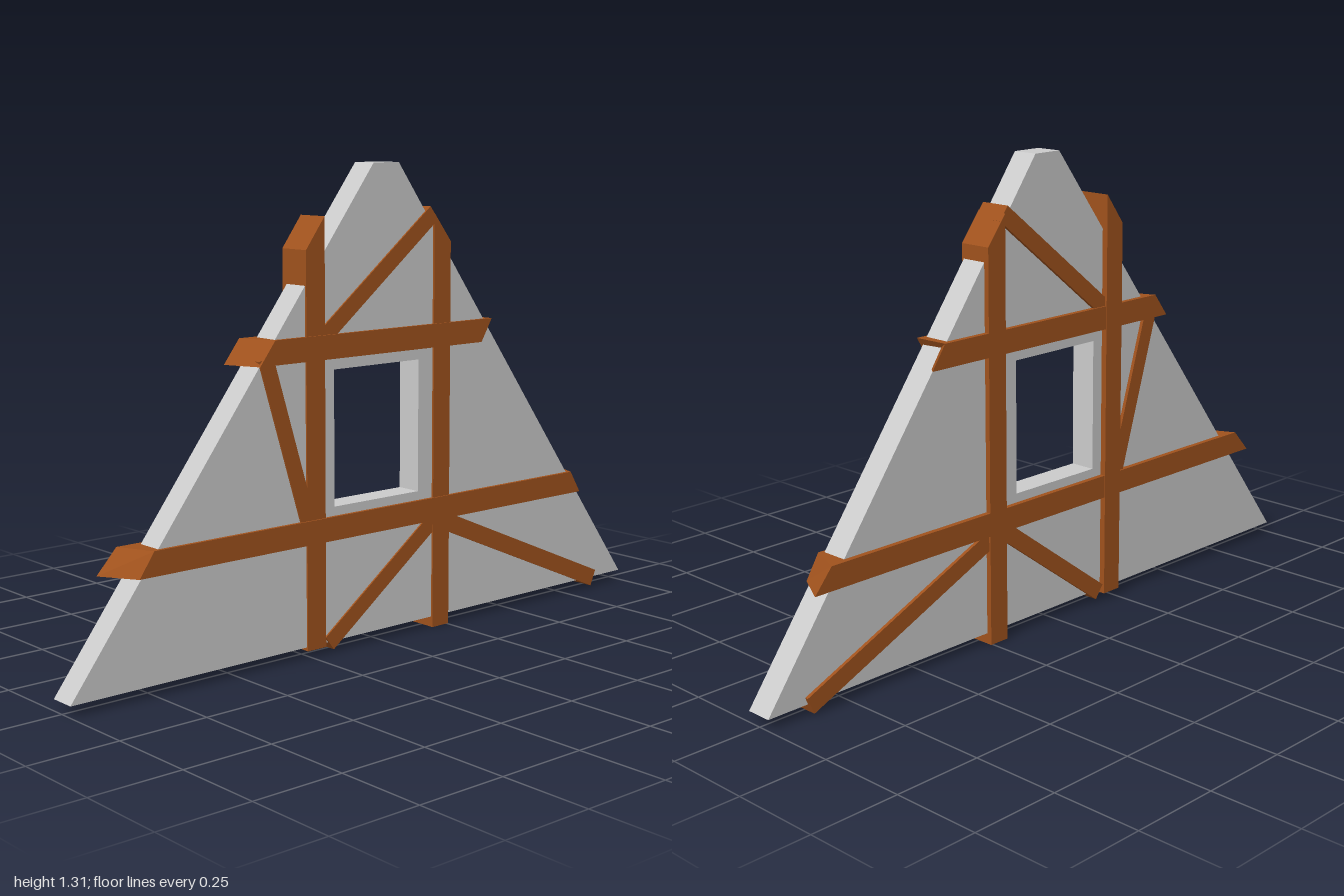
import * as THREE from 'three';

const plaster = new THREE.MeshStandardMaterial({ color: 0xcccccc, flatShading: true });
const timber = new THREE.MeshStandardMaterial({ color: 0xa0521d, flatShading: true });

// Extrudes a [z, y] outline across the thickness from x0 to x1.
function slab(name, outline, x0, x1, material, hole) {
  const points = (list) => list.map(([z, y]) => new THREE.Vector2(-z, y));
  const shape = new THREE.Shape(points(outline));
  if (hole) shape.holes.push(new THREE.Path(points(hole)));
  const geometry = new THREE.ExtrudeGeometry(shape, { depth: x1 - x0, bevelEnabled: false });
  geometry.rotateY(Math.PI / 2).translate(x0, 0, 0);
  const mesh = new THREE.Mesh(geometry, material);
  mesh.name = name;
  return mesh;
}

// Horizontal beam with skew-cut ends: each end lists z as
// [+x top, +x bottom, -x top, -x bottom].
function rail(name, y0, y1, front, back) {
  const geometry = new THREE.BoxGeometry(1, 1, 1);
  const p = geometry.attributes.position;
  for (let i = 0; i < p.count; i++) {
    const right = p.getX(i) > 0, top = p.getY(i) > 0;
    const end = p.getZ(i) > 0 ? front : back;
    p.setXYZ(i, right ? 0.05 : -0.05, top ? y1 : y0, end[(right ? 0 : 2) + (top ? 0 : 1)]);
  }
  geometry.computeVertexNormals();
  const mesh = new THREE.Mesh(geometry, timber);
  mesh.name = name;
  return mesh;
}

// Slanting timber between two [z, y] points.
function brace(name, [z0, y0], [z1, y1], width) {
  const length = Math.hypot(z1 - z0, y1 - y0);
  const mesh = new THREE.Mesh(new THREE.BoxGeometry(0.09, width, length), timber);
  mesh.position.set(0, (y0 + y1) / 2, (z0 + z1) / 2);
  mesh.rotation.x = -Math.atan2(y1 - y0, z1 - z0);
  mesh.name = name;
  return mesh;
}

export function createModel() {
  const model = new THREE.Group();
  model.name = 'timberFramedGable';

  // Gable wall with window opening
  model.add(slab('gableWall',
    [[1, 0.03], [-1, 0.03], [-0.065, 1.31], [0.025, 1.31]], -0.035, 0.04, plaster,
    [[0.165, 0.4], [0.165, 0.77], [-0.14, 0.77], [-0.14, 0.4]]));

  // Posts with sloping tops
  model.add(
    slab('frontPost', [[0.263, 0.02], [0.2, 0.02], [0.2, 1.175], [0.263, 1.09]], -0.052, 0.045, timber),
    slab('backPost', [[-0.193, 0], [-0.255, 0], [-0.255, 1.09], [-0.193, 1.17]], -0.05, 0.046, timber));

  // Horizontal rails
  model.add(
    rail('lowerRail', 0.31, 0.375, [0.755, 0.8, 0.8, 0.86], [-0.76, -0.8, -0.8, -0.855]),
    rail('upperRail', 0.8, 0.865, [0.37, 0.42, 0.41, 0.46], [-0.415, -0.375, -0.41, -0.455]));

  // Diagonal braces
  model.add(
    brace('topBrace', [0.21, 0.853], [-0.193, 1.17], 0.047),
    brace('frontBrace', [0.397, 0.82], [0.255, 0.36], 0.047),
    brace('lowerFrontBrace', [0.187, 0.027], [-0.21, 0.32], 0.047),
    brace('lowerBackBrace', [-0.875, 0.027], [-0.22, 0.31], 0.05));

  return model;
}
